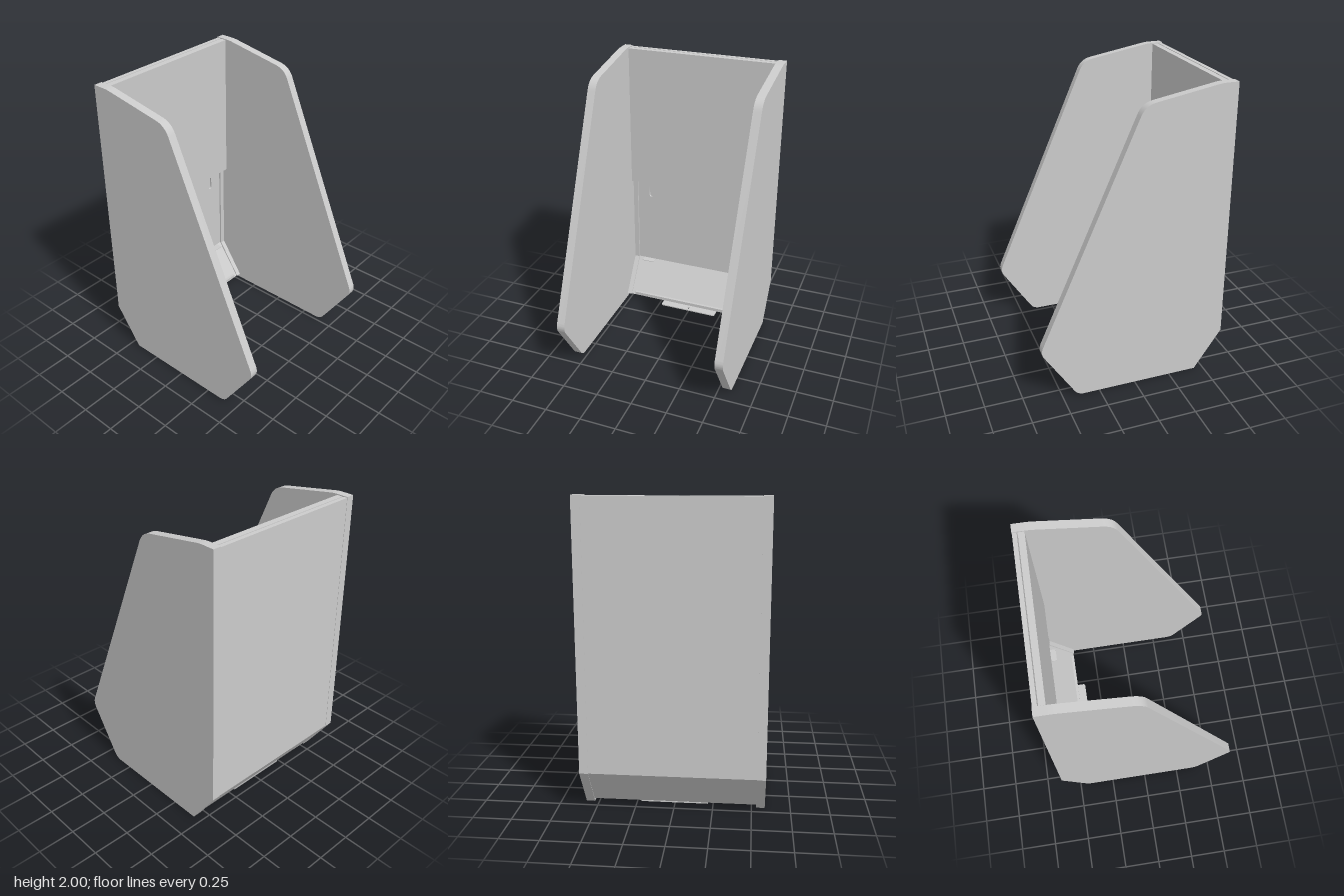
import * as THREE from 'three';
import { toCreasedNormals } from 'three/addons/utils/BufferGeometryUtils.js';

const material = new THREE.MeshStandardMaterial({ color: 0xcccccc });

// Closed outline from [a, b, cornerCut] points; cut corners are rounded.
function outline(points, Type = THREE.Shape) {
  const shape = new Type();
  const n = points.length;
  const toward = (p, q, d) => {
    const len = Math.hypot(q[0] - p[0], q[1] - p[1]);
    return [p[0] + (q[0] - p[0]) * d / len, p[1] + (q[1] - p[1]) * d / len];
  };
  points.forEach((p, i) => {
    const cut = p[2] || 0;
    const a = toward(p, points[(i + n - 1) % n], cut);
    const b = toward(p, points[(i + 1) % n], cut);
    if (i === 0) shape.moveTo(a[0], a[1]);
    else shape.lineTo(a[0], a[1]);
    if (cut) shape.quadraticCurveTo(p[0], p[1], b[0], b[1]);
  });
  shape.closePath();
  return shape;
}

function extrude(shape, depth) {
  return new THREE.ExtrudeGeometry(shape, { depth, bevelEnabled: false, curveSegments: 10 });
}

function add(group, name, geometry) {
  const mesh = new THREE.Mesh(toCreasedNormals(geometry, 0.5), material);
  mesh.name = name;
  group.add(mesh);
  return mesh;
}

// Extrude a (z, y) profile across x from x0 to x1.
function acrossX(points, x0, x1) {
  return extrude(outline(points), x1 - x0).rotateY(-Math.PI / 2).translate(x1, 0, 0);
}

function box(x0, x1, y0, y1, z0, z1) {
  return new THREE.BoxGeometry(x1 - x0, y1 - y0, z1 - z0)
    .translate((x0 + x1) / 2, (y0 + y1) / 2, (z0 + z1) / 2);
}

export function createModel() {
  const group = new THREE.Group();
  group.name = 'wallBooth';

  // Side cheeks
  const cheek = [
    [-0.627, 2], [-0.52, 2, 0.03], [-0.034, 1.914, 0.07], [0.64, 0.376, 0.046],
    [0.398, 0, 0.045], [-0.44, 0], [-0.627, 0.272],
  ];
  add(group, 'leftCheek', acrossX(cheek, 0.53, 0.586));
  add(group, 'rightCheek', acrossX(cheek, -0.586, -0.53));

  // Back skin and the sloped kick panel below it
  add(group, 'backSkin', acrossX(
    [[-0.625, 1.995], [-0.625, 0.273], [-0.61, 0.252], [-0.61, 1.995]], -0.53, 0.53));
  add(group, 'kickPanel', acrossX(
    [[-0.61, 0.284], [-0.61, 0.252], [-0.453, 0.027], [-0.42, 0.027], [-0.597, 0.284]], -0.53, 0.53));

  // Inner board with two vertical keyhole slots
  const board = outline([[-0.53, 0.284], [0.53, 0.284], [0.53, 1.995], [-0.53, 1.995]]);
  for (const x of [-0.388, 0.388]) {
    const slot = new THREE.Path();
    slot.absarc(x, 0.925, 0.015, 0, Math.PI);
    slot.absarc(x, 0.853, 0.015, Math.PI, 2 * Math.PI);
    slot.closePath();
    board.holes.push(slot);
  }
  add(group, 'innerBoard', extrude(board, 0.013).translate(0, 0, -0.61));

  // Upper cover panel
  add(group, 'coverPanel', box(-0.528, 0.528, 0.97, 1.995, -0.591, -0.551));

  // Edge battens following the bend, and small tabs at the crease
  const batten = [
    [-0.6, 0.97], [-0.6, 0.28], [-0.425, 0.028], [-0.413, 0.028], [-0.585, 0.286], [-0.585, 0.97],
  ];
  for (const s of [-1, 1]) {
    const side = s > 0 ? 'left' : 'right';
    add(group, side + 'Batten', acrossX(batten, s > 0 ? 0.495 : -0.53, s > 0 ? 0.53 : -0.495));
    add(group, side + 'CreaseTab', box(s * 0.405 - 0.048, s * 0.405 + 0.048, 0.28, 0.284, -0.6, -0.547));
  }

  // Lip along the bottom of the kick panel
  add(group, 'bottomLip', acrossX(
    [[-0.445, 0.052], [-0.445, 0.028], [-0.418, 0.028], [-0.418, 0.052]], -0.465, 0.465));

  // Mounting plate with a screw hole
  const plate = outline([
    [-0.218, 0.36, 0.015], [0.218, 0.36, 0.015], [0.218, 0.455], [-0.218, 0.455],
  ]);
  const hole = new THREE.Path();
  hole.absarc(0, 0.39, 0.009, 0, Math.PI * 2);
  plate.holes.push(hole);
  add(group, 'mountingPlate', extrude(plate, 0.008).rotateX(-Math.PI / 2).translate(0, 0.02, 0));

  return group;
}
